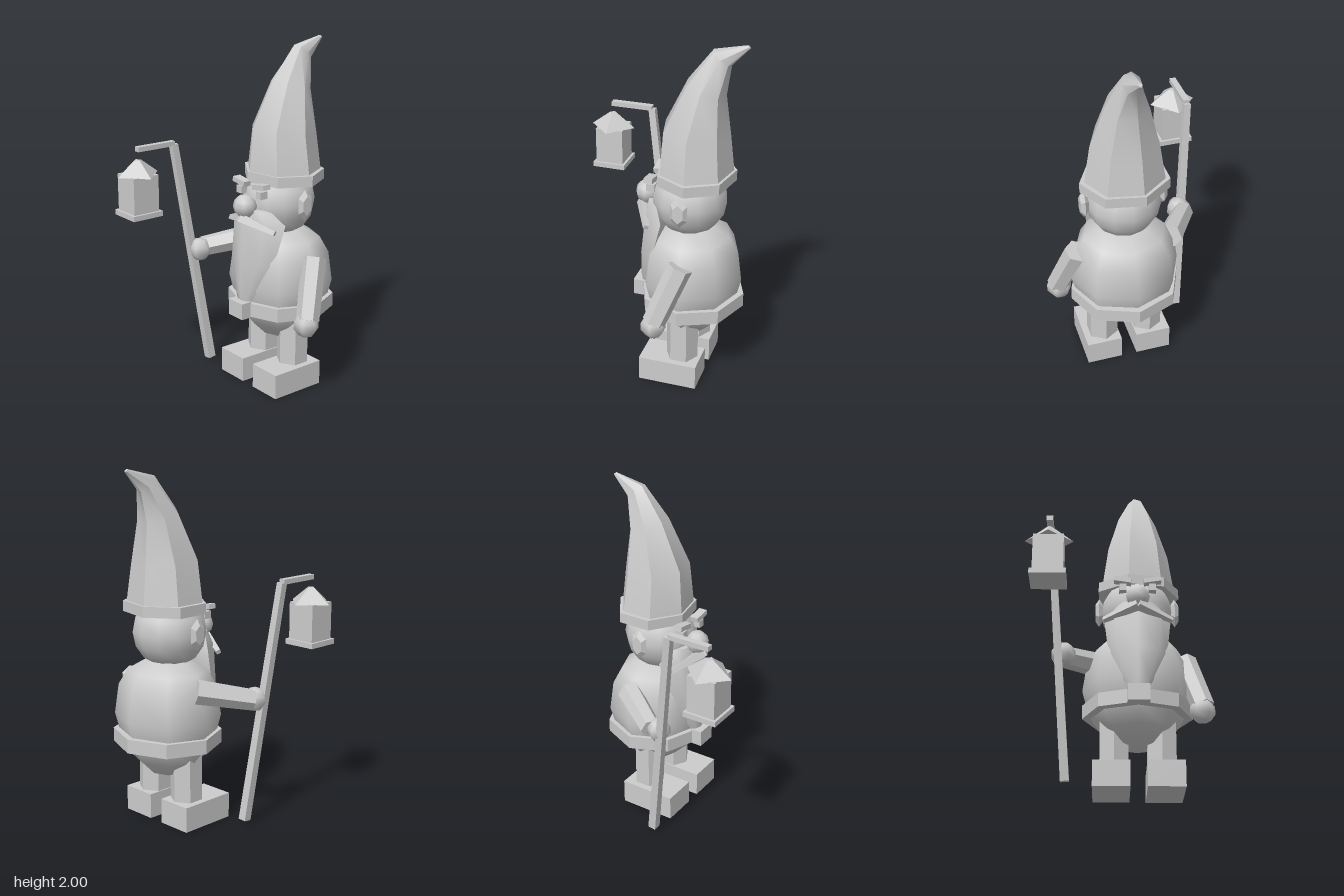
import * as THREE from 'three';
import { toCreasedNormals, mergeVertices } from 'three/addons/utils/BufferGeometryUtils.js';

const V = (x, y, z) => new THREE.Vector3(x, y, z);
const CX = 0.09; // the figure's own centre line

// Skin of bottom-to-top rings, each running from +z towards +x, with both ends capped
function loft(rings, crease) {
  const n = rings[0].length, pos = [], idx = [];
  rings.forEach(r => r.forEach(p => pos.push(p.x, p.y, p.z)));
  for (let k = 0; k < rings.length - 1; k++) {
    for (let i = 0; i < n; i++) {
      const a = k * n + i, b = k * n + (i + 1) % n;
      idx.push(a, b, a + n, b, b + n, a + n);
    }
  }
  [0, rings.length - 1].forEach(k => {
    const c = rings[k].reduce((s, p) => s.add(p), V(0, 0, 0)).divideScalar(n);
    const ci = pos.length / 3;
    pos.push(c.x, c.y, c.z);
    for (let i = 0; i < n; i++) {
      const a = k * n + i, b = k * n + (i + 1) % n;
      if (k) idx.push(ci, a, b); else idx.push(ci, b, a);
    }
  });
  const g = new THREE.BufferGeometry();
  g.setAttribute('position', new THREE.Float32BufferAttribute(pos, 3));
  g.setIndex(idx);
  return toCreasedNormals(g, crease);
}

// Faceted prism between two points
function rod(a, b, r0, r1, sides) {
  const g = new THREE.CylinderGeometry(r1, r0, a.distanceTo(b), sides);
  if (sides === 4) g.rotateY(Math.PI / 4);
  const q = new THREE.Quaternion().setFromUnitVectors(V(0, 1, 0), b.clone().sub(a).normalize());
  g.applyQuaternion(q);
  const m = a.clone().add(b).multiplyScalar(0.5);
  g.translate(m.x, m.y, m.z);
  return toCreasedNormals(g, 0.5);
}

const box = (w, h, d, x, y, z) => new THREE.BoxGeometry(w, h, d).translate(x, y, z);
const ball = (r, x, y, z, ws = 8, hs = 6) => new THREE.SphereGeometry(r, ws, hs).translate(x, y, z);

export function createModel() {
  const model = new THREE.Group();
  model.name = 'gardenGnome';
  const stone = new THREE.MeshStandardMaterial({ color: 0xcccccc });
  stone.name = 'plain grey';
  const add = (name, geometry) => {
    const mesh = new THREE.Mesh(geometry, stone);
    mesh.name = name;
    model.add(mesh);
    return mesh;
  };

  // Round belly
  const profile = [[0, 0.26], [0.12, 0.29], [0.21, 0.37], [0.275, 0.47], [0.315, 0.62],
    [0.29, 0.79], [0.235, 0.88], [0.12, 0.94], [0, 0.945]].map(p => new THREE.Vector2(...p));
  add('body', new THREE.LatheGeometry(profile, 8).scale(1, 1, 0.91).translate(CX, 0, -0.24));

  // Belt and buckle
  const belt = new THREE.CylinderGeometry(0.315, 0.315, 0.08, 8).scale(1, 1, 0.95);
  add('belt', toCreasedNormals(belt.translate(CX, 0.495, -0.243), 0.5));
  add('buckle', box(0.122, 0.095, 0.07, CX, 0.497, 0.058));

  // Head and face
  add('head', ball(0.21, CX, 1.1, -0.22, 12, 8));
  add('nose', ball(0.068, CX, 1.098, 0.025));

  // Parts that come in pairs
  for (const [side, s] of [['right', -1], ['left', 1]]) {
    add(side + 'Eye', box(0.042, 0.042, 0.05, CX + s * 0.085, 1.172, -0.025));
    const brow = new THREE.BoxGeometry(0.1, 0.028, 0.05).rotateZ(s * 0.15);
    add(side + 'Eyebrow', brow.translate(CX + s * 0.085, 1.218, -0.02));

    // Ear: bevelled upright hexagon
    const earProfile = [[0, -0.022], [0.055, -0.022], [0.09, 0], [0.055, 0.022], [0, 0.022]]
      .map(p => new THREE.Vector2(...p));
    const ear = new THREE.LatheGeometry(earProfile, 6).scale(0.6, 1, 1).rotateX(Math.PI / 2)
      .rotateY(Math.PI / 2);
    ear.deleteAttribute('uv');
    ear.deleteAttribute('normal');
    add(side + 'Ear', toCreasedNormals(mergeVertices(ear), 0.4)
      .translate(CX + s * 0.222, 1.108, -0.222));

    add(side + 'Moustache', rod(V(CX, 1.035, 0.055), V(CX + s * 0.195, 0.975, -0.03), 0.035, 0.018, 4));
    add(side + 'Leg', rod(V(CX + s * 0.133, 0.13, -0.225), V(CX + s * 0.133, 0.42, -0.225), 0.093, 0.093, 6));
    add(side + 'Boot', box(0.205, 0.145, 0.338, CX + s * 0.148, 0.0725, -0.169));
  }

  // Beard: curved front, flat back, tapering to the belt
  const beard = [[0.54, 0.055, 0.055, 0.02], [0.6, 0.085, 0.06, 0.01], [0.77, 0.165, 0.058, -0.05],
    [1.0, 0.19, 0.035, -0.11], [1.08, 0.115, 0.015, -0.06]].map(([y, w, zf, ze]) =>
    [-90, -45, 0, 45, 90].map(d => {
      const t = d * Math.PI / 180;
      return V(CX + w * Math.sin(t), y, ze + (zf - ze) * Math.cos(t));
    }));
  add('beard', loft(beard, 0.85));

  // Pointed hat bending backwards: front y, z, back y, z, half width per ring
  const hatRing = ([yf, zf, yb, zb, w]) => Array.from({ length: 7 }, (_, i) => {
    const a = (-13 + i * 360 / 7) * Math.PI / 180, c = (1 + Math.cos(a)) / 2;
    return V(CX + w * Math.sin(a), yb + (yf - yb) * c, zb + (zf - zb) * c);
  });
  add('hat', loft([
    [1.26, -0.042, 1.26, -0.458, 0.225],
    [1.52, -0.06, 1.47, -0.435, 0.188],
    [1.78, -0.19, 1.71, -0.405, 0.12],
    [1.96, -0.33, 1.88, -0.43, 0.052],
    [2.0, -0.51, 1.985, -0.525, 0.01],
  ].map(hatRing), 0.75));
  add('hatBrim', loft([1.215, 1.275].map(y => hatRing([y, -0.032, y, -0.472, 0.25])), 0.5));

  // Arms and hands
  add('rightSleeve', rod(V(-0.17, 0.805, -0.27), V(-0.345, 0.74, 0.0), 0.07, 0.06, 6));
  add('rightHand', ball(0.07, -0.325, 0.735, 0.035, 6, 5));
  add('leftSleeve', rod(V(0.365, 0.81, -0.25), V(0.455, 0.49, -0.13), 0.07, 0.065, 6));
  add('leftHand', ball(0.074, 0.45, 0.465, -0.125, 6, 5));

  // Staff with crossbar
  add('staff', rod(V(-0.305, 0.03, -0.02), V(-0.4, 1.38, 0.16), 0.034, 0.028, 4));
  add('staffArm', box(0.036, 0.028, 0.25, -0.4, 1.386, 0.285));

  // Lantern
  add('lanternBase', box(0.196, 0.03, 0.196, -0.4, 1.015, 0.407));
  add('lanternBody', box(0.166, 0.215, 0.166, -0.4, 1.135, 0.407));
  const roof = new THREE.CylinderGeometry(0.022, 0.133, 0.085, 4).translate(-0.4, 1.282, 0.407);
  add('lanternRoof', toCreasedNormals(roof, 0.5));

  return model;
}
